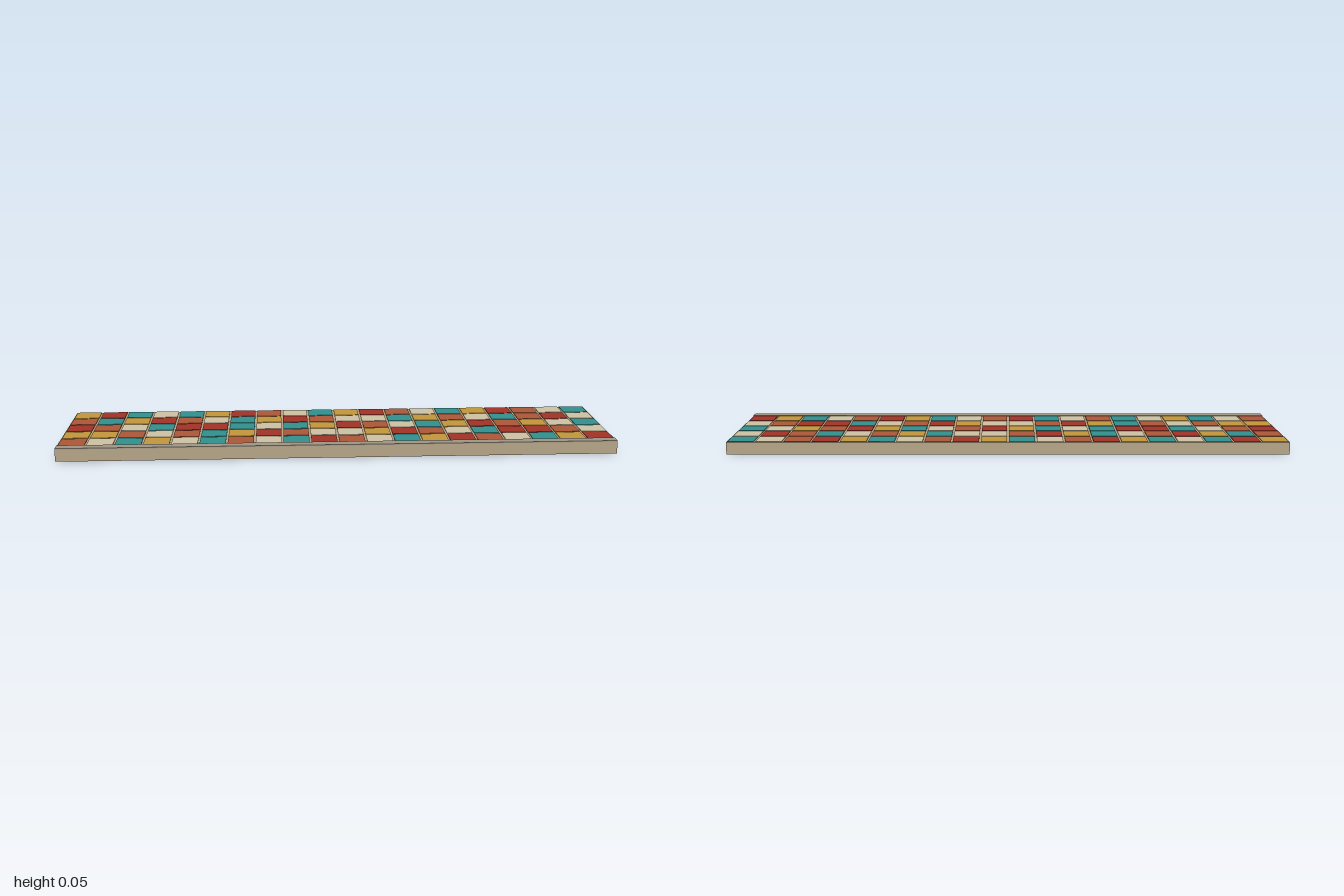
import * as THREE from 'three';

export function createModel() {
  const root = new THREE.Group();
  root.name = 'mosaicSlab';

  const material = (color) => new THREE.MeshStandardMaterial({ color });
  const box = (name, w, h, d, x, y, z, mat, parent = root) => {
    const mesh = new THREE.Mesh(new THREE.BoxGeometry(w, h, d), mat);
    mesh.name = name;
    mesh.position.set(x, y + h / 2, z); // y is the underside
    parent.add(mesh);
    return mesh;
  };

  // Grout-coloured slab
  const BASE = 0.044;
  box('slab', 2, BASE, 0.5, 0, 0, 0, material(0xb5a586));

  // Stone nosing along the front edge
  box('frontNosing', 2, 0.004, 0.04, 0, BASE, 0.23, material(0xa09685));

  // Square tiles, rows listed from back to front
  const colors = {
    Y: material(0xc4973a),
    R: material(0xa33327),
    T: material(0x329290),
    C: material(0xcfc3a5),
    O: material(0xae5838),
  };
  const rows = [
    'YRTCTYROCTYROCTYROCT',
    'OTYROCTYROCCTYOCTORC',
    'ROCTRRTCTYROCTYROYCT',
    'YYOCOTYROCCYROCTRROC',
    'OCTYCTOCTROCTYROCTYR',
  ];
  const pitchX = 0.1, pitchZ = 0.092, gap = 0.007;
  const tiles = new THREE.Group();
  tiles.name = 'tiles';
  root.add(tiles);
  rows.forEach((row, j) => {
    [...row].forEach((key, i) => {
      box('tile', pitchX - gap, 0.0022, pitchZ - gap,
        -1 + (i + 0.5) * pitchX, BASE, -0.25 + (j + 0.5) * pitchZ, colors[key], tiles);
    });
  });

  return root;
}
